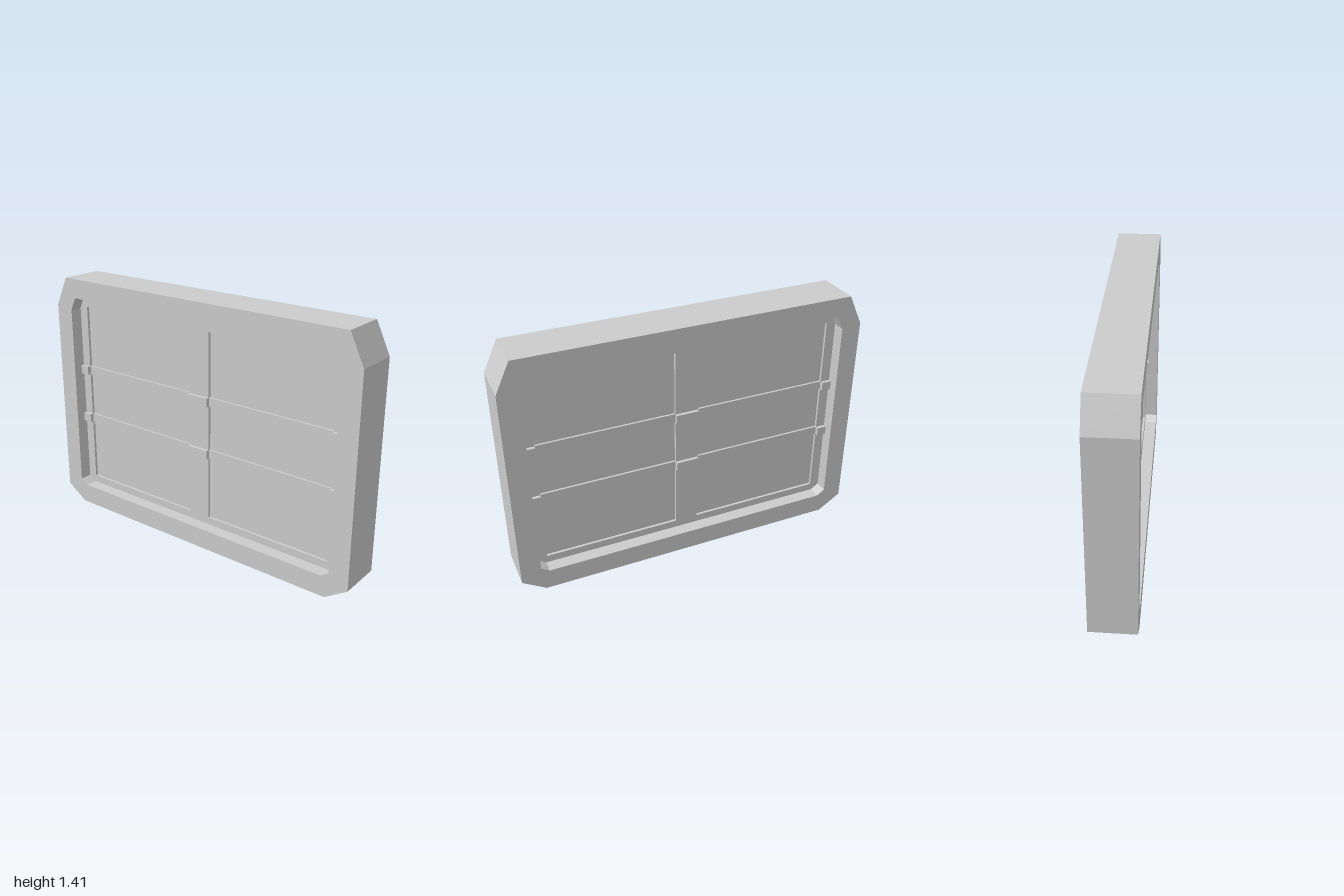
import * as THREE from 'three';

const mat = new THREE.MeshStandardMaterial({ color: 0xcccccc, flatShading: true });

// Outline mirrored about the centre line, from points on one half (bottom to top)
function mirrored(half, Type) {
  const pts = half.map(([u, v]) => new THREE.Vector2(u, v));
  const other = half.map(([u, v]) => new THREE.Vector2(-u, v)).reverse();
  return new Type([...pts, ...other]);
}

function rectPath(u0, u1, v0, v1) {
  return new THREE.Path([[u0, v0], [u1, v0], [u1, v1], [u0, v1]].map(p => new THREE.Vector2(...p)));
}

// Slab standing in the z-y plane, centred on x = 0
function slab(name, shape, thickness) {
  const geo = new THREE.ExtrudeGeometry(shape, { depth: thickness, bevelEnabled: false });
  geo.translate(0, 0, -thickness / 2).rotateY(Math.PI / 2);
  const mesh = new THREE.Mesh(geo, mat);
  mesh.name = name;
  return mesh;
}

function box(name, thickness, height, width, y, z) {
  const mesh = new THREE.Mesh(new THREE.BoxGeometry(thickness, height, width), mat);
  mesh.name = name;
  mesh.position.set(0, y, z);
  return mesh;
}

export function createModel() {
  const group = new THREE.Group();
  group.name = 'panelledWindow';

  const outer = [[0.87, 0], [1, 0.085], [1, 1.243], [0.92, 1.41]];
  const inner = [[0.842, 0.117], [0.888, 0.147], [0.888, 1.227], [0.852, 1.3]];

  // Thick outer frame with clipped corners
  const frame = mirrored(outer, THREE.Shape);
  frame.holes.push(mirrored(inner, THREE.Path));
  group.add(slab('outerFrame', frame, 0.25));

  // Recessed inner frame with centre mullion
  const sash = mirrored(inner, THREE.Shape);
  sash.holes.push(rectPath(-0.833, -0.065, 0.16, 1.24), rectPath(0.065, 0.833, 0.16, 1.24));
  group.add(slab('innerFrame', sash, 0.106));

  // Two panes
  for (const s of [-1, 1]) group.add(box('pane', 0.076, 1.08, 0.768, 0.7, s * 0.449));

  // Horizontal bars, stepping out over the mullion and the inner frame's sides
  for (const y of [0.549, 0.853]) {
    group.add(box('crossBar', 0.1, 0.05, 1.776, y, 0));
    group.add(box('mullionClip', 0.144, 0.05, 0.13, y, 0));
    for (const s of [-1, 1]) group.add(box('sideClip', 0.144, 0.05, 0.055, y, s * 0.8605));
  }
  return group;
}
